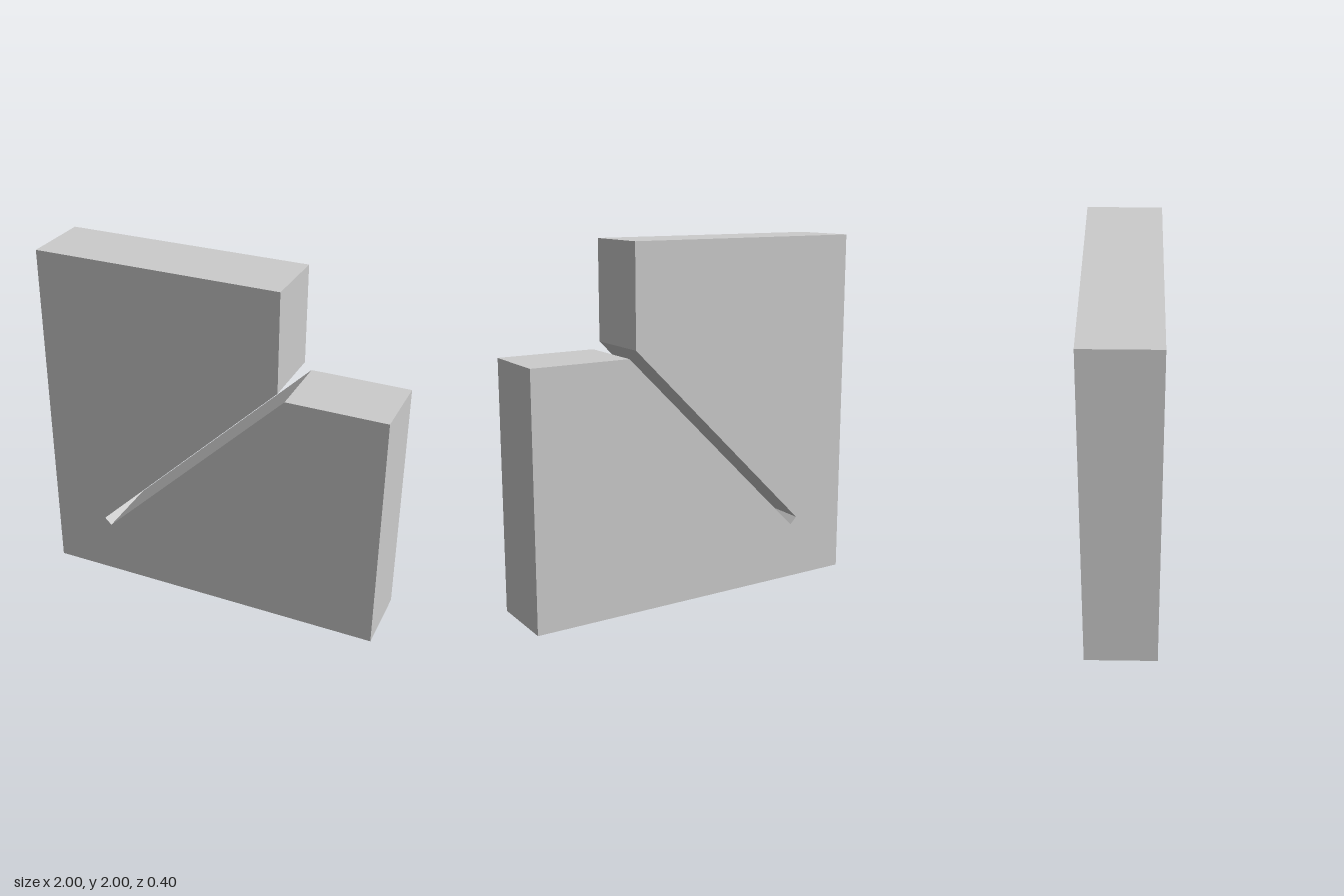
import * as THREE from 'three';

export function createModel() {
  const group = new THREE.Group();
  const depth = 0.4;

  // Square plate with a notched corner and a diagonal slot running in from the notch
  const outline = [
    [-1, 0], [1, 0], [1, 1.4],
    [0.44, 1.4], [-0.64, 0.32], [-0.68, 0.36], [0.4, 1.44], // slot walls
    [0.4, 2], [-1, 2],
  ];
  const shape = new THREE.Shape(outline.map(([x, y]) => new THREE.Vector2(x, y)));
  const geometry = new THREE.ExtrudeGeometry(shape, { depth, bevelEnabled: false });
  geometry.translate(0, 0, -depth / 2);

  const plate = new THREE.Mesh(geometry, new THREE.MeshStandardMaterial({ color: 0xcccccc }));
  plate.name = 'slottedPlate';
  group.add(plate);
  return group;
}
